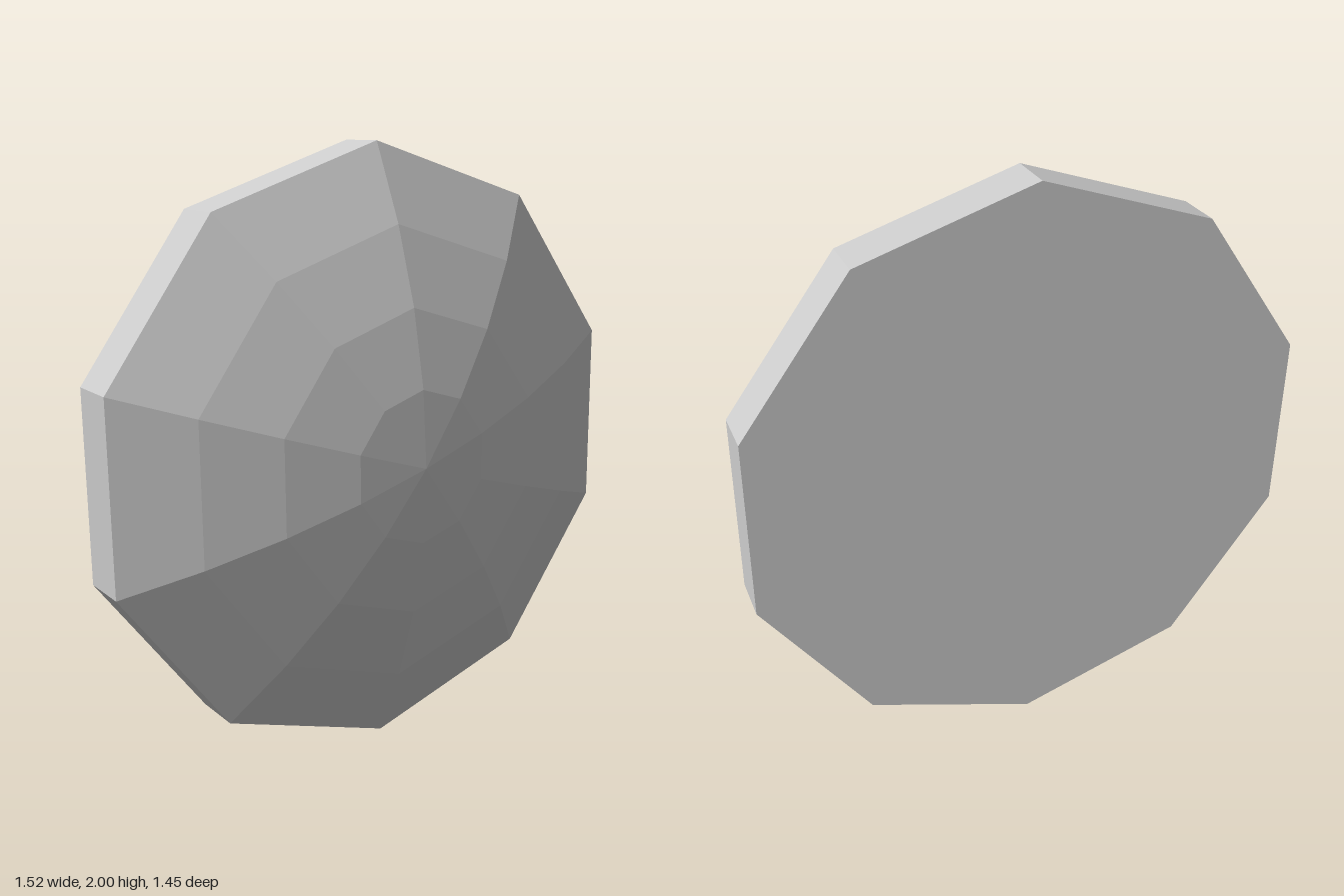
import * as THREE from 'three';

export function createModel() {
  const model = new THREE.Group();
  model.name = 'facetedDisc';
  const grey = new THREE.MeshStandardMaterial({ color: 0xcccccc, flatShading: true });
  grey.name = 'plain grey';

  const SIDES = 10, RADIUS = 1, DOME = 0.26, THICK = 0.17;

  // Tilted frame: local y is the dome axis, local z points at a rim corner
  const up = new THREE.Vector3(0, 1, 0.063).normalize();
  const axis = new THREE.Vector3(0.676, -0.046, 0.736);
  axis.addScaledVector(up, -axis.dot(up)).normalize();
  const side = new THREE.Vector3().crossVectors(axis, up);
  const disc = new THREE.Group();
  disc.name = 'tiltedDisc';
  disc.quaternion.setFromRotationMatrix(new THREE.Matrix4().makeBasis(side, axis, up));
  disc.position.set(0.057, 1, 0.063);
  model.add(disc);

  // Ten-sided turned part with flat facets
  function turned(name, points) {
    const geometry = new THREE.LatheGeometry(points, SIDES).toNonIndexed();
    geometry.computeVertexNormals();
    const mesh = new THREE.Mesh(geometry, grey);
    mesh.name = name;
    disc.add(mesh);
  }

  // Shallow dome in four rings
  const dome = [];
  for (let i = 4; i >= 0; i--) {
    const r = i / 4;
    dome.push(new THREE.Vector2(r * RADIUS, DOME * (1 - r * r)));
  }
  turned('dome', dome);

  // Straight rim and flat back
  turned('rim', [new THREE.Vector2(RADIUS, -THICK), new THREE.Vector2(RADIUS, 0)]);
  turned('back', [new THREE.Vector2(0, -THICK), new THREE.Vector2(RADIUS, -THICK)]);

  return model;
}
